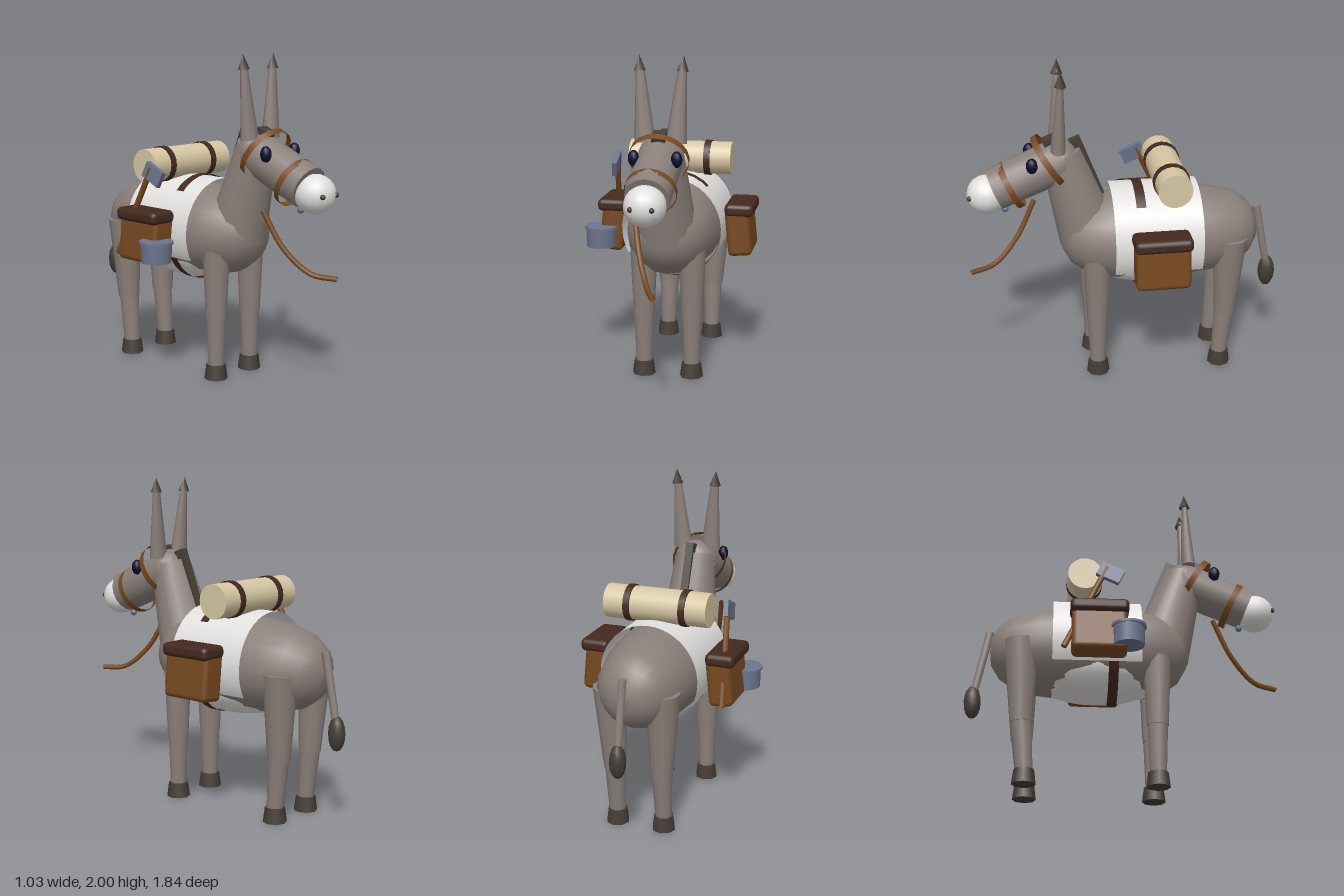
import * as THREE from 'three';
import { RoundedBoxGeometry } from 'three/addons/geometries/RoundedBoxGeometry.js';

const mat = (name, color, side = THREE.FrontSide) => {
  const m = new THREE.MeshStandardMaterial({ color, side });
  m.name = name;
  return m;
};

export function createModel() {
  const coat = mat('grey coat', 0x8a7f7a);
  const pale = mat('pale fur and cloth', 0xe2e1df, THREE.DoubleSide);
  const dark = mat('dark hair and hoof', 0x443d35);
  const eyeMat = mat('eye navy', 0x0c0c2c);
  const leather = mat('tan leather', 0x76481f, THREE.DoubleSide);
  const darkLeather = mat('dark leather', 0x44291f, THREE.DoubleSide);
  const canvas = mat('cream canvas', 0xd6c7a3);
  const metal = mat('blue grey metal', 0x6b748c);

  const model = new THREE.Group();
  const donkey = new THREE.Group();
  donkey.name = 'packDonkey';
  donkey.position.set(0.052, 0, -0.019);
  donkey.rotation.y = THREE.MathUtils.degToRad(20);
  model.add(donkey);

  const add = (name, geo, material, x = 0, y = 0, z = 0) => {
    const mesh = new THREE.Mesh(geo, material);
    mesh.name = name;
    mesh.position.set(x, y, z);
    donkey.add(mesh);
    return mesh;
  };
  // Tapered cylinder running from point a to point b
  const limb = (name, a, b, ra, rb, material, sides = 12, open = false) => {
    const p = new THREE.Vector3(...a), q = new THREE.Vector3(...b);
    const d = q.clone().sub(p);
    const mesh = add(name, new THREE.CylinderGeometry(rb, ra, d.length(), sides, 1, open), material);
    mesh.position.copy(p).add(q).multiplyScalar(0.5);
    mesh.quaternion.setFromUnitVectors(new THREE.Vector3(0, 1, 0), d.normalize());
    return mesh;
  };
  const ball = (name, material, pos, scale, w = 16, h = 12) => {
    const mesh = add(name, new THREE.SphereGeometry(1, w, h), material, ...pos);
    mesh.scale.set(...scale);
    return mesh;
  };

  // Barrel-shaped body, lathed along its length
  const profile = [[0, -0.81], [0.09, -0.8], [0.17, -0.75], [0.23, -0.66], [0.27, -0.5], [0.29, -0.3],
    [0.29, -0.05], [0.275, 0.12], [0.24, 0.26], [0.17, 0.36], [0.08, 0.41], [0, 0.42]];
  add('body', new THREE.LatheGeometry(profile.map(([r, z]) => new THREE.Vector2(r, z)), 20).rotateX(Math.PI / 2),
    coat, 0, 0.9, 0);
  ball('belly', pale, [0, 0.79, -0.15], [0.25, 0.21, 0.46]);

  // Neck, mane and head
  limb('neck', [0, 0.9, 0.24], [0, 1.46, 0.41], 0.19, 0.125, coat, 14);
  const mane = add('mane', new THREE.BoxGeometry(0.05, 0.4, 0.07), dark, 0, 1.36, 0.255);
  mane.rotation.x = 0.37;
  add('forelock', new THREE.BoxGeometry(0.08, 0.06, 0.08), dark, 0, 1.53, 0.47).rotation.x = 0.4;
  limb('head', [0, 1.415, 0.4], [0, 1.245, 0.81], 0.135, 0.13, coat, 16);
  ball('headBack', coat, [0, 1.415, 0.41], [0.134, 0.134, 0.11]);
  ball('muzzle', pale, [0, 1.215, 0.86], [0.122, 0.117, 0.122]);

  for (const s of [-1, 1]) {
    ball('eye', eyeMat, [s * 0.125, 1.43, 0.59], [0.033, 0.048, 0.036], 10, 8);
    ball('nostril', dark, [s * 0.06, 1.215, 0.965], [0.016, 0.016, 0.016], 8, 6);

    // Ears with dark tips
    const ear = limb('ear', [s * 0.092, 1.5, 0.43], [s * 0.125, 1.94, 0.41], 0.064, 0.024, coat, 8);
    ear.scale.z = 0.72;
    limb('earTip', [s * 0.125, 1.91, 0.411], [s * 0.13, 2.0, 0.408], 0.036, 0.001, dark, 6);

    // Front leg
    limb('frontUpperLeg', [s * 0.15, 0.86, 0.214], [s * 0.15, 0.38, 0.214], 0.088, 0.066, coat);
    limb('frontLowerLeg', [s * 0.15, 0.4, 0.214], [s * 0.15, 0.08, 0.214], 0.062, 0.05, coat);
    limb('frontHoof', [s * 0.15, 0, 0.214], [s * 0.15, 0.09, 0.214], 0.072, 0.06, dark, 8);

    // Hind leg
    limb('hindUpperLeg', [s * 0.165, 0.9, -0.615], [s * 0.15, 0.38, -0.598], 0.105, 0.068, coat);
    limb('hindLowerLeg', [s * 0.15, 0.4, -0.598], [s * 0.15, 0.08, -0.571], 0.064, 0.05, coat);
    limb('hindHoof', [s * 0.15, 0, -0.571], [s * 0.15, 0.09, -0.571], 0.072, 0.06, dark, 8);

    // Saddlebag with flap, leaning out at the bottom
    const bag = add('saddlebag', new RoundedBoxGeometry(0.15, 0.3, 0.33, 2, 0.03), leather, s * 0.4, 0.875, -0.15);
    bag.rotation.z = s * 0.1;
    add('saddlebagFlap', new RoundedBoxGeometry(0.18, 0.08, 0.35, 2, 0.03), darkLeather, s * 0.403, 1.015, -0.15);

    limb('bedrollStrap', [s * 0.175 - 0.02, 1.3, -0.238], [s * 0.175 + 0.02, 1.3, -0.238], 0.112, 0.112, darkLeather, 20);
  }

  // Tail
  limb('tail', [0, 1.03, -0.815], [0, 0.6, -0.9], 0.026, 0.022, coat, 8);
  ball('tailTuft', dark, [0, 0.56, -0.902], [0.05, 0.105, 0.053], 10, 8);

  // Saddle cloth draped over the back
  const drape = Math.PI / 2 + 0.53;
  const cloth = add('saddleCloth', new THREE.CylinderGeometry(0.31, 0.31, 0.54, 28, 1, true, Math.PI - drape, 2 * drape)
    .rotateX(Math.PI / 2), pale, 0, 0.905, -0.155);
  cloth.scale.y = 1.035;
  const girth = add('girthStrap', new THREE.CylinderGeometry(0.297, 0.297, 0.06, 32, 1, true)
    .rotateX(Math.PI / 2), darkLeather, 0, 0.905, -0.054);
  girth.scale.y = 1.118;

  // Bedroll across the back
  limb('bedroll', [-0.325, 1.3, -0.238], [0.325, 1.3, -0.238], 0.104, 0.104, canvas, 20);

  // Halter and hanging lead rope
  limb('noseband', [0, 1.274, 0.692], [0, 1.256, 0.728], 0.15, 0.15, leather, 20, true);
  limb('browband', [0, 1.421, 0.458], [0, 1.399, 0.492], 0.176, 0.176, leather, 20, true);
  ball('halterRing', metal, [0, 1.11, 0.755], [0.022, 0.022, 0.022], 8, 6);
  const rope = new THREE.CatmullRomCurve3([[-0.124, 1.1, 0.57], [-0.07, 0.88, 0.686], [0.005, 0.74, 0.835],
    [0.067, 0.722, 0.98]].map(p => new THREE.Vector3(...p)));
  add('leadRope', new THREE.TubeGeometry(rope, 20, 0.016, 8), leather);

  // Cooking pot hung on the right side
  limb('pot', [-0.467, 0.755, 0.02], [-0.467, 0.88, 0.02], 0.092, 0.095, metal, 14);
  limb('potRim', [-0.467, 0.868, 0.02], [-0.467, 0.885, 0.02], 0.105, 0.105, metal, 14);

  // Hatchet behind the right bag
  limb('hatchetHandle', [-0.44, 0.75, -0.36], [-0.388, 1.31, -0.105], 0.018, 0.018, leather, 8);
  const blade = add('hatchetHead', new THREE.BoxGeometry(0.03, 0.1, 0.15), metal, -0.39, 1.27, -0.085);
  blade.rotation.set(0.43, 0, -0.1);

  return model;
}
